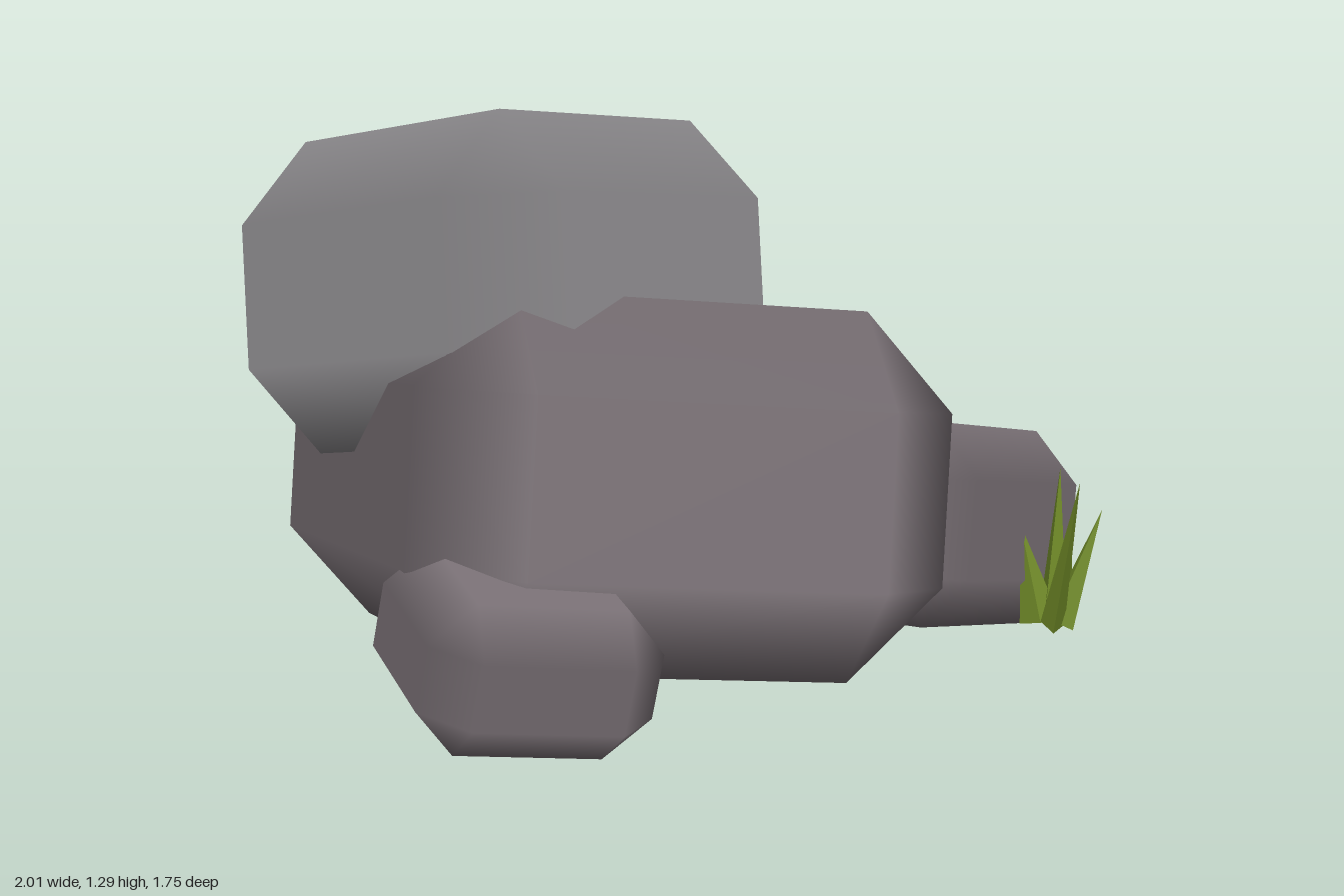
import * as THREE from 'three';

// Box with one wide bevel: flat faces, shading blended across the bevels.
function bevelledBox(half, bevel) {
  const pos = [], nor = [], index = [];
  // vertex id = axis * 8 + sign bits (bit set means positive side)
  for (let axis = 0; axis < 3; axis++) {
    for (let bits = 0; bits < 8; bits++) {
      for (let k = 0; k < 3; k++) {
        const sign = bits & (1 << k) ? 1 : -1;
        pos.push(sign * (half[k] - (k === axis ? 0 : bevel)));
        nor.push(k === axis ? sign : 0);
      }
    }
  }
  const point = i => new THREE.Vector3().fromArray(pos, i * 3);
  // adds a triangle, turned to face outward
  const tri = (a, b, c) => {
    const A = point(a), B = point(b), C = point(c);
    const out = B.clone().sub(A).cross(C.clone().sub(A)).dot(A.add(B).add(C)) > 0;
    index.push(a, out ? b : c, out ? c : b);
  };
  const quad = (a, b, c, d) => { tri(a, b, c); tri(a, c, d); };
  for (let a = 0; a < 3; a++) {
    const b = (a + 1) % 3, c = (a + 2) % 3;
    const A = 1 << a, B = 1 << b, C = 1 << c;
    for (const s of [0, A]) {
      quad(a * 8 + s, a * 8 + s + B, a * 8 + s + B + C, a * 8 + s + C); // flat face
      for (const t of [0, B]) { // edge bevel
        quad(a * 8 + s + t, a * 8 + s + t + C, b * 8 + s + t + C, b * 8 + s + t);
      }
    }
  }
  for (let bits = 0; bits < 8; bits++) tri(bits, 8 + bits, 16 + bits); // corners
  const g = new THREE.BufferGeometry();
  g.setAttribute('position', new THREE.Float32BufferAttribute(pos, 3));
  g.setAttribute('normal', new THREE.Float32BufferAttribute(nor, 3));
  g.setIndex(index);
  return g;
}

// Rock turned so that its own x and z axes point along the given directions.
function rock({ name, color, half, bevel, center, x, z }) {
  const mesh = new THREE.Mesh(
    bevelledBox(half, bevel),
    new THREE.MeshStandardMaterial({ color })
  );
  const Z = new THREE.Vector3(...z).normalize();
  const Y = Z.clone().cross(new THREE.Vector3(...x)).normalize();
  const X = Y.clone().cross(Z);
  mesh.quaternion.setFromRotationMatrix(new THREE.Matrix4().makeBasis(X, Y, Z));
  mesh.position.set(...center);
  mesh.name = name;
  return mesh;
}

// Pointed four-sided blade of grass from base to tip.
function blade(base, tip, radius, turn, material) {
  const from = new THREE.Vector3(...base), dir = new THREE.Vector3(...tip).sub(from);
  const length = dir.length();
  const g = new THREE.ConeGeometry(radius, length, 4);
  g.translate(0, length / 2, 0).scale(1, 1, 0.6).rotateY(turn);
  const mesh = new THREE.Mesh(g, material);
  mesh.quaternion.setFromUnitVectors(new THREE.Vector3(0, 1, 0), dir.normalize());
  mesh.position.copy(from);
  mesh.name = 'grassBlade';
  return mesh;
}

export function createModel() {
  const model = new THREE.Group();
  model.name = 'rockPile';

  const rocks = [
    { name: 'mainRock', color: 0x7b7277, half: [0.57, 0.38, 0.8], bevel: 0.2,
      center: [-0.01, 0.47, -0.005], x: [0.816, -0.088, 0.571], z: [-0.556, 0.105, 0.825] },
    { name: 'topRock', color: 0x8f8d90, half: [0.46, 0.335, 0.49], bevel: 0.183,
      center: [-0.233, 0.894, -0.085], x: [0.99, -0.077, 0.1], z: [-0.091, 0.147, 0.985] },
    { name: 'leftSmallRock', color: 0x7b7277, half: [0.34, 0.224, 0.303], bevel: 0.115,
      center: [0.645, 0.32, 0.375], x: [0.987, -0.154, -0.033], z: [0.04, 0.01, 1] },
    { name: 'rightSmallRock', color: 0x7b7277, half: [0.24, 0.155, 0.245], bevel: 0.088,
      center: [-0.72, 0.255, 0.37], x: [0.86, -0.116, 0.497], z: [-0.51, -0.19, 0.833] },
  ];
  for (const r of rocks) model.add(rock(r));

  // grass tuft in front of the left small rock
  const green = new THREE.MeshStandardMaterial({ color: 0x75902a, flatShading: true });
  const tuft = new THREE.Group();
  tuft.name = 'grassTuft';
  const blades = [
    [[0.68, 0.12, 0.74], [0.605, 0.46, 0.845], 0.045, 0.6],
    [[0.73, 0.12, 0.71], [0.75, 0.46, 0.71], 0.055, 0.2],
    [[0.70, 0.12, 0.75], [0.73, 0.38, 0.83], 0.045, 1.2],
    [[0.69, 0.12, 0.70], [0.65, 0.34, 0.67], 0.045, 2.2],
    [[0.74, 0.12, 0.73], [0.79, 0.32, 0.72], 0.04, 0.9],
  ];
  for (const b of blades) tuft.add(blade(...b, green));
  model.add(tuft);
  return model;
}
